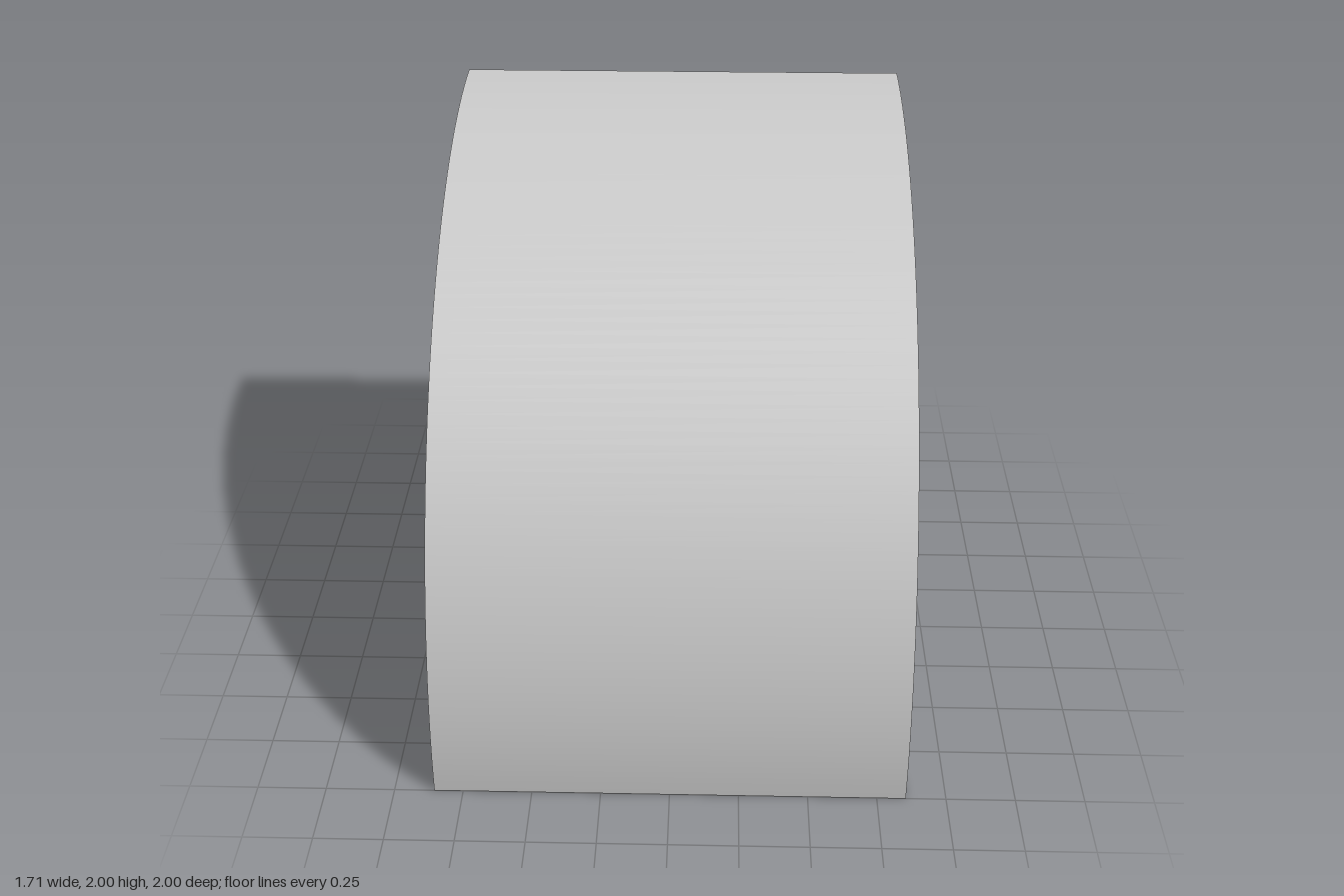
import * as THREE from 'three';
import { mergeGeometries, toCreasedNormals } from 'three/addons/utils/BufferGeometryUtils.js';

const OUTER = 2, INNER = 1.72, HALF_WIDTH = 0.855, STEPS = 3, SEGMENTS = 64;

// Stepped cross-section (radius, position along the axis), counter-clockwise
function steppedProfile() {
  const points = [new THREE.Vector2(OUTER, -HALF_WIDTH), new THREE.Vector2(OUTER, HALF_WIDTH)];
  for (let i = 0; i < STEPS; i++) {
    const radius = INNER + (OUTER - INNER) * i / STEPS;
    const start = HALF_WIDTH - 2 * HALF_WIDTH * i / STEPS;
    points.push(new THREE.Vector2(radius, start));
    points.push(new THREE.Vector2(radius, start - 2 * HALF_WIDTH / STEPS));
  }
  return points;
}

export function createModel() {
  const group = new THREE.Group();
  group.name = 'steppedQuarterArch';
  const profile = steppedProfile();

  // Quarter-turn sweep of the cross-section
  const sweep = new THREE.LatheGeometry([...profile, profile[0].clone()], SEGMENTS, 0, Math.PI / 2);

  // Flat ends: the foot, and the crown facing the other way
  const shape = new THREE.Shape(profile);
  const foot = new THREE.ShapeGeometry(shape).rotateY(-Math.PI / 2);
  const crown = new THREE.ShapeGeometry(shape);
  crown.setIndex(Array.from(crown.index.array).reverse());

  // Lay the axis along x and move it to the back edge
  const geometry = toCreasedNormals(mergeGeometries([sweep, foot, crown]), 0.5);
  geometry.rotateZ(Math.PI / 2).translate(0, 0, -1);

  const arch = new THREE.Mesh(geometry, new THREE.MeshStandardMaterial({ color: 0xcccccc }));
  arch.name = 'archShell';
  group.add(arch);
  return group;
}
